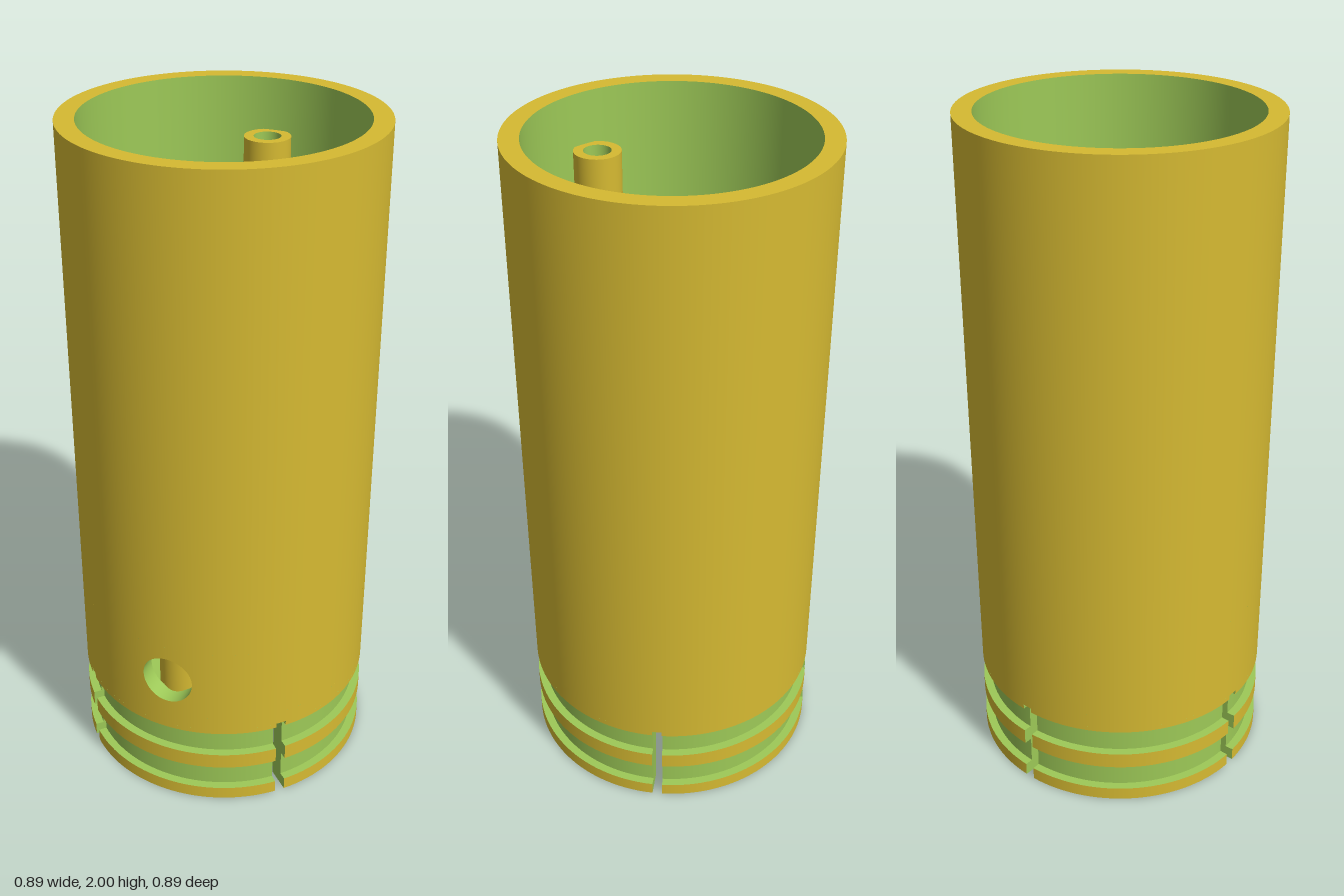
import * as THREE from 'three';
import { ParametricGeometry } from 'three/addons/geometries/ParametricGeometry.js';

const R = 0.445;       // outer wall
const RI = 0.39;       // upper bore
const RL = 0.367;      // lower bore
const RG = 0.42;       // groove bottom
const SLIT = 0.275;    // slit height and underside of the floor
const FLOOR = 0.32;    // top of the floor
const TOP = 2;
const HOLE = { y: 0.44, r: 0.078, halfAngle: 0.3, halfHeight: 0.12 };

export function createModel() {
  const model = new THREE.Group();
  const yellow = new THREE.MeshStandardMaterial({ color: 0xd6ba32, side: THREE.DoubleSide });
  yellow.name = 'yellow shell';
  const green = new THREE.MeshStandardMaterial({ color: 0x9dc957, side: THREE.DoubleSide });
  green.name = 'green cut faces';

  function add(parent, name, geometry, material) {
    const mesh = new THREE.Mesh(geometry, material);
    mesh.name = name;
    parent.add(mesh);
    return mesh;
  }

  // One straight profile segment swept around y; going up faces outward
  function band(parent, name, a, b, material, start = 0, length = Math.PI * 2) {
    const points = [new THREE.Vector2(...a), new THREE.Vector2(...b)];
    const segments = Math.max(2, Math.ceil(length / (Math.PI * 2) * 128));
    return add(parent, name, new THREE.LatheGeometry(points, segments, start, length), material);
  }

  // Upper tube, leaving a window in the wall for the round hole
  const tube = new THREE.Group();
  tube.name = 'upperTube';
  model.add(tube);
  const low = HOLE.y - HOLE.halfHeight, high = HOLE.y + HOLE.halfHeight;
  const rest = Math.PI * 2 - 2 * HOLE.halfAngle;
  band(tube, 'outerWallBase', [R, SLIT], [R, low], yellow);
  band(tube, 'outerWallAroundHole', [R, low], [R, high], yellow, HOLE.halfAngle, rest);
  band(tube, 'outerWall', [R, high], [R, TOP], yellow);
  band(tube, 'topRim', [R, TOP], [RI, TOP], yellow);
  band(tube, 'innerWall', [RI, TOP], [RI, high], green);
  band(tube, 'innerWallAroundHole', [RI, high], [RI, low], green, HOLE.halfAngle, rest);
  band(tube, 'floorTop', [RI, FLOOR], [0, FLOOR], green);
  band(tube, 'floorUnderside', [0, SLIT], [RL, SLIT], green);

  // Point on a wall of given radius, blended from the hole edge to the window frame
  function holePoint(radius, t, blend, target) {
    const c = Math.cos(t), s = Math.sin(t), m = Math.max(Math.abs(c), Math.abs(s));
    const angle = THREE.MathUtils.lerp(Math.asin(HOLE.r * c / radius), HOLE.halfAngle * c / m, blend);
    const y = HOLE.y + THREE.MathUtils.lerp(HOLE.r * s, HOLE.halfHeight * s / m, blend);
    target.set(radius * Math.sin(angle), y, radius * Math.cos(angle));
  }
  const turn = Math.PI * 2;
  add(tube, 'outerHoleSurround', new ParametricGeometry(
    (u, v, p) => holePoint(R, (1 - u) * turn, v, p), 64, 8), yellow);
  add(tube, 'innerHoleSurround', new ParametricGeometry(
    (u, v, p) => holePoint(RI, u * turn, v, p), 64, 8), green);
  add(tube, 'holeSide', new ParametricGeometry(
    (u, v, p) => holePoint(THREE.MathUtils.lerp(RI, R, v), u * turn, 0, p), 64, 1), green);

  // Grooved collar: four sectors separated by narrow slits
  const profile = [
    [RL, 0], [R, 0], [R, 0.04], [RG, 0.04], [RG, 0.125], [R, 0.125], [R, 0.175],
    [RG, 0.175], [RG, 0.26], [R, 0.26], [R, SLIT], [RL, SLIT],
  ];
  const section = new THREE.ShapeGeometry(new THREE.Shape(profile.map(p => new THREE.Vector2(...p))));
  const half = 0.034;
  for (let i = 0; i < 4; i++) {
    const sector = new THREE.Group();
    sector.name = 'collarSector' + (i + 1);
    model.add(sector);
    const slit = Math.PI / 4 + i * Math.PI / 2;
    const start = slit + half, length = Math.PI / 2 - 2 * half;
    profile.forEach((a, k) => {
      if (k === 10) return; // joins the tube above
      const b = profile[(k + 1) % profile.length];
      const cut = k === 11 || a[0] === RG || b[0] === RG;
      band(sector, cut ? 'collarCutFace' : 'collarFace', a, b, cut ? green : yellow, start, length);
    });
    for (const phi of [start, start + length]) {
      add(sector, 'slitSide', section, green).rotation.y = phi - Math.PI / 2;
    }
    band(sector, 'slitTop', [RL, SLIT], [R, SLIT], green, slit - half, 2 * half);
  }

  // Two tall hollow screw posts, front and back
  for (const side of [1, -1]) {
    const post = new THREE.Group();
    post.name = side > 0 ? 'frontPost' : 'backPost';
    post.position.z = side * 0.33;
    model.add(post);
    band(post, 'postWall', [0.068, FLOOR], [0.068, 1.85], yellow);
    band(post, 'postRim', [0.068, 1.85], [0.04, 1.85], yellow);
    band(post, 'postBore', [0.04, 1.85], [0.04, FLOOR], green);
  }

  // Slotted guide rails on the left and right inner walls
  const railTop = 1.2, railHeight = railTop - FLOOR, midY = (railTop + FLOOR) / 2;
  for (const side of [1, -1]) {
    const rail = new THREE.Group();
    rail.name = side > 0 ? 'leftRail' : 'rightRail';
    model.add(rail);
    const box = (name, x0, x1, z0, z1, material) => {
      const mesh = add(rail, name, new THREE.BoxGeometry(x1 - x0, railHeight, z1 - z0), material);
      mesh.position.set(side * (x0 + x1) / 2, midY, (z0 + z1) / 2);
    };
    box('railBody', 0.254, 0.39, 0.095, 0.185, yellow);
    box('railBackProng', 0.218, 0.254, 0.095, 0.12, yellow);
    box('railFrontProng', 0.218, 0.254, 0.16, 0.185, yellow);
    box('slotEnd', 0.252, 0.254, 0.12, 0.16, green);
    box('slotBackFace', 0.218, 0.252, 0.12, 0.122, green);
    box('slotFrontFace', 0.218, 0.252, 0.158, 0.16, green);
  }

  return model;
}
